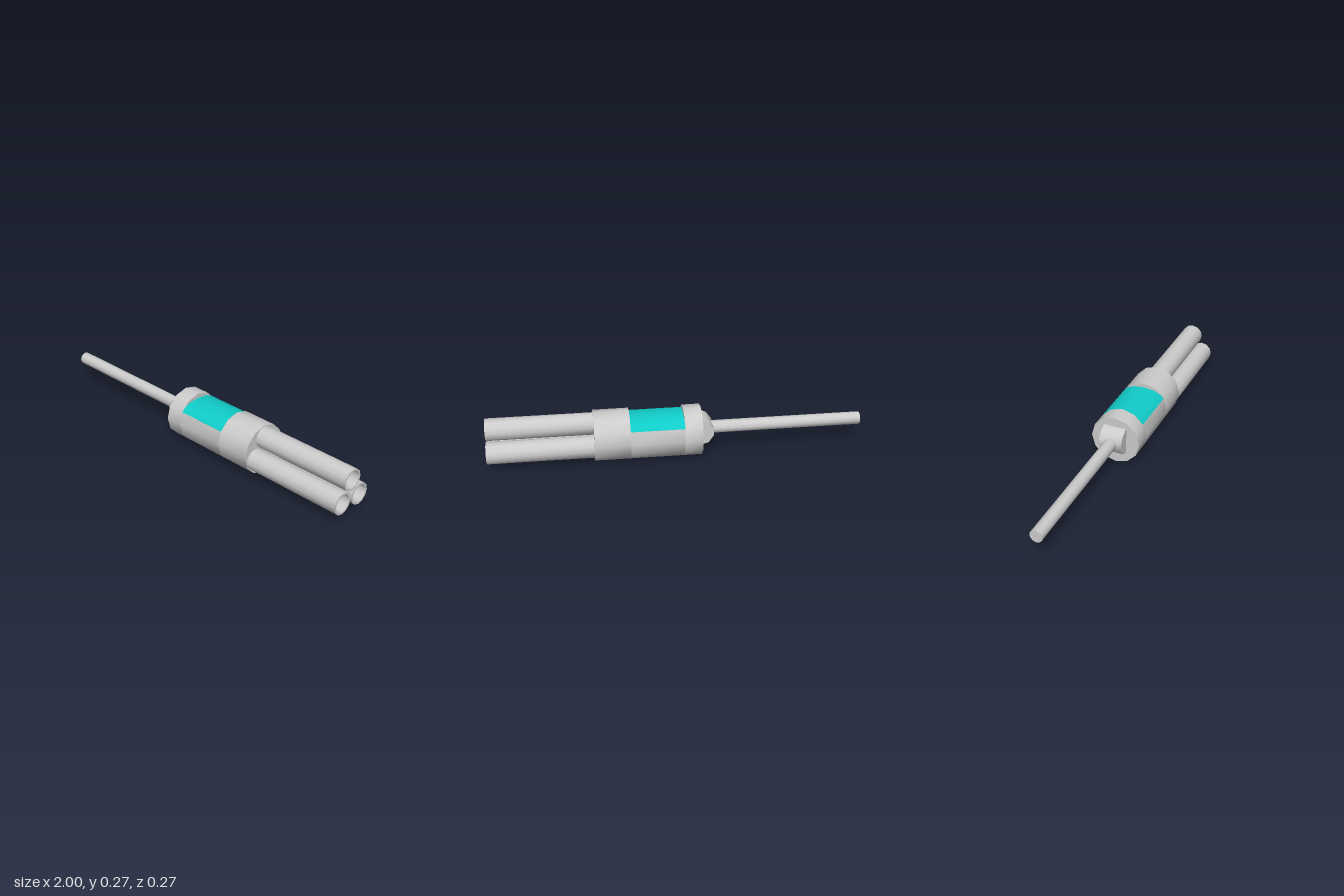
import * as THREE from 'three';
import { toCreasedNormals } from 'three/addons/utils/BufferGeometryUtils.js';

const SIDES = 12;
const AXIS_Y = 0.135;
const BODY_R = 0.135;
const X_BACK = -0.13, X_NOTCH_A = -0.035, X_NOTCH_B = 0.25, X_FRONT = 0.44;

const grey = new THREE.MeshStandardMaterial({ color: 0xcccccc });
const cyan = new THREE.MeshStandardMaterial({ color: 0x10ccc8 });

const v2 = ([x, y]) => new THREE.Vector2(x, y);

function makeMesh(name, geometry, material = grey) {
  const mesh = new THREE.Mesh(toCreasedNormals(geometry, 0.7), material);
  mesh.name = name;
  return mesh;
}

// Cross-section in (z, y), swept along x from x0 to x1
function sweepX(points, x0, x1) {
  const geo = new THREE.ExtrudeGeometry(new THREE.Shape(points.map(v2)), {
    depth: x1 - x0, bevelEnabled: false,
  });
  return geo.rotateY(Math.PI / 2).translate(x0, 0, 0);
}

// Revolved profile of [radius, x], turned to lie along x
function latheX(profile) {
  return new THREE.LatheGeometry(profile.map(v2), SIDES).rotateZ(-Math.PI / 2);
}

// Corners of the twelve-sided body, from step a to step b
function bodyArc(a, b) {
  const pts = [];
  for (let i = a; i <= b; i++) {
    const t = (i * 2 * Math.PI) / SIDES;
    pts.push([BODY_R * Math.cos(t), AXIS_Y + BODY_R * Math.sin(t)]);
  }
  return pts;
}

export function createModel() {
  const model = new THREE.Group();
  model.name = 'tripleTubeDevice';

  // Body: full sections at both ends, cut-away section between them
  const body = new THREE.Group();
  body.name = 'body';
  body.add(
    makeMesh('bodyRear', sweepX(bodyArc(0, 11), X_BACK, X_NOTCH_A)),
    makeMesh('bodyMiddle', sweepX(bodyArc(5, 13), X_NOTCH_A, X_NOTCH_B)),
    makeMesh('bodyFront', sweepX(bodyArc(0, 11), X_NOTCH_B, X_FRONT)),
  );
  model.add(body);

  // Coloured insert bulging up in the notch
  const half = [[0.116, 0.203], [0.098, 0.222], [0.058, 0.239]];
  const mirrored = half.map(([z, y]) => [-z, y]).reverse();
  const insert = [[0.116, 0.19], ...half, [0, 0.245], ...mirrored, [-0.116, 0.19]];
  model.add(makeMesh('insert', sweepX(insert, X_NOTCH_A, X_NOTCH_B), cyan));

  // Three hollow tubes
  const outer = 0.059, inner = 0.049, end = 1;
  const tubeProfile = [[0, X_FRONT - 0.02], [outer, X_FRONT - 0.02], [outer, end],
    [inner, end], [inner, X_FRONT + 0.02], [0, X_FRONT + 0.02]];
  const tubes = new THREE.Group();
  tubes.name = 'tubes';
  for (const [y, z] of [[0.206, 0], [0.102, 0.063], [0.102, -0.063]]) {
    const tube = makeMesh('tube', latheX(tubeProfile));
    tube.position.set(0, y, z);
    tubes.add(tube);
  }
  model.add(tubes);

  // Half-round mount on the rear face
  const mountShape = new THREE.Shape([
    [-0.12, 0.218], [-0.135, 0.218], [-0.167, 0.203], [-0.195, 0.166],
    [-0.195, 0.126], [-0.167, 0.084], [-0.135, 0.075], [-0.12, 0.075],
  ].map(v2));
  const mountGeo = new THREE.ExtrudeGeometry(mountShape, { depth: 0.126, bevelEnabled: false });
  model.add(makeMesh('mount', mountGeo.translate(0, 0, -0.063)));

  // Long rod
  const rod = makeMesh('rod', latheX([[0, -1], [0.034, -1], [0.034, -0.17], [0, -0.17]]));
  rod.position.y = 0.145;
  model.add(rod);

  return model;
}
